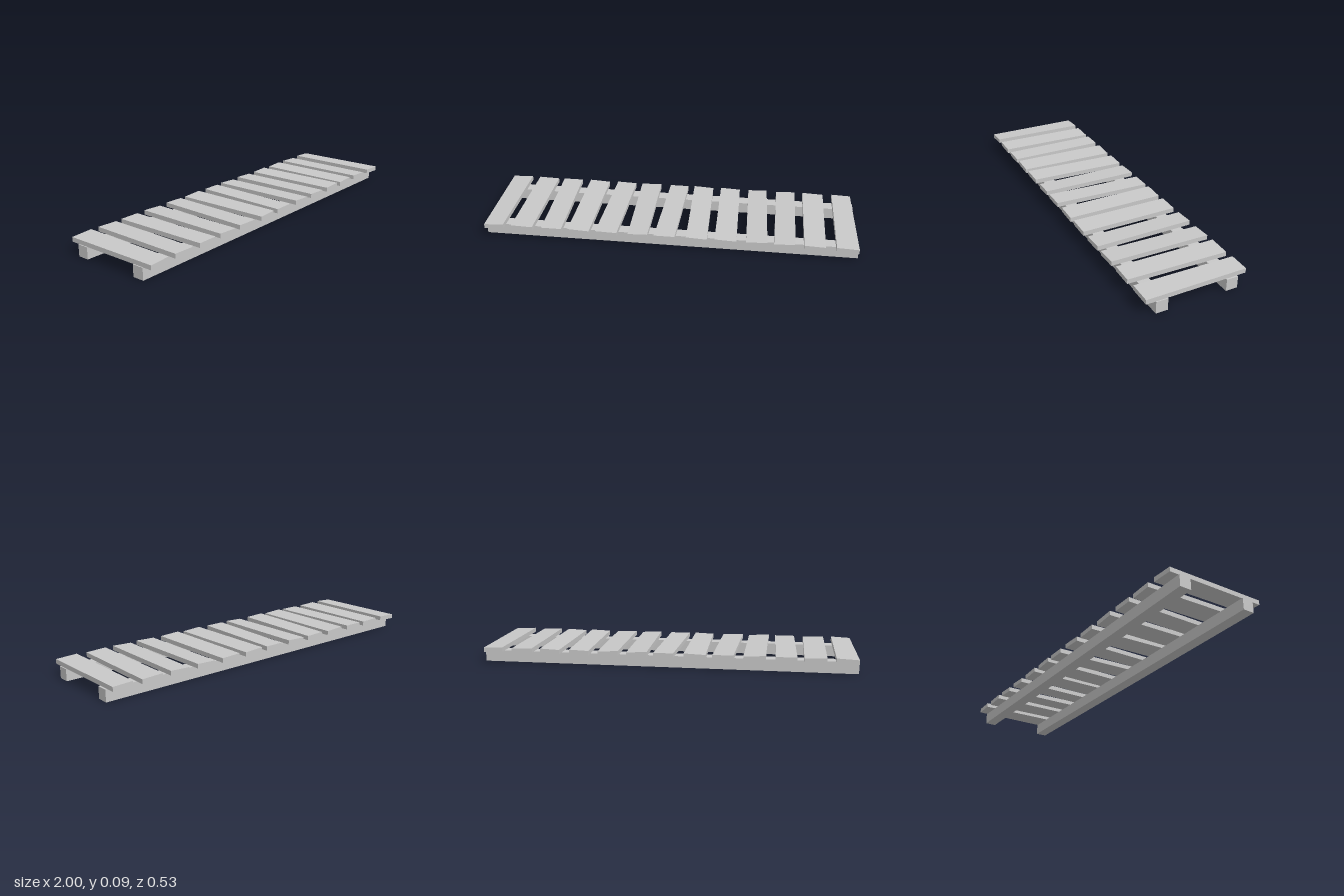
import * as THREE from 'three';

// Each plank: [back left x, back right x, front left x, front right x, roll]
const PLANKS = [
  [-0.995, -0.88, -0.995, -0.89, 0.05],
  [-0.835, -0.72, -0.845, -0.73, -0.03],
  [-0.685, -0.575, -0.68, -0.57, 0],
  [-0.525, -0.41, -0.535, -0.42, -0.05],
  [-0.36, -0.25, -0.385, -0.27, -0.03],
  [-0.215, -0.10, -0.21, -0.105, 0.04],
  [-0.045, 0.06, -0.07, 0.04, 0],
  [0.095, 0.205, 0.10, 0.21, -0.05],
  [0.25, 0.36, 0.25, 0.365, -0.04],
  [0.41, 0.515, 0.415, 0.525, 0.04],
  [0.57, 0.675, 0.56, 0.67, 0.04],
  [0.72, 0.835, 0.715, 0.825, -0.04],
  [0.885, 0.99, 0.88, 0.995, -0.04],
];

// Slightly skewed board: a box whose corners follow the plank's end positions
function plankGeometry([bl, br, fl, fr, roll]) {
  const geometry = new THREE.BoxGeometry(2, 0.024, 0.534);
  const pos = geometry.attributes.position;
  const middle = (bl + br + fl + fr) / 4;
  for (let i = 0; i < pos.count; i++) {
    const [left, right] = pos.getZ(i) > 0 ? [fl, fr] : [bl, br];
    const x = pos.getX(i) > 0 ? right : left;
    pos.setX(i, x);
    pos.setY(i, pos.getY(i) + 0.076 + (x - middle) * roll);
  }
  geometry.computeVertexNormals();
  return geometry;
}

export function createModel() {
  const model = new THREE.Group();
  model.name = 'plankWalkway';
  const wood = new THREE.MeshStandardMaterial({ color: 0xc8c8c8 });
  wood.name = 'light grey';

  // Two long bearers
  for (const side of [1, -1]) {
    const rail = new THREE.Mesh(new THREE.BoxGeometry(2, 0.062, 0.062), wood);
    rail.name = side > 0 ? 'frontRail' : 'backRail';
    rail.position.set(0, 0.031, side * 0.187);
    model.add(rail);
  }

  // Uneven cross planks
  PLANKS.forEach((plank, i) => {
    const mesh = new THREE.Mesh(plankGeometry(plank), wood);
    mesh.name = `plank${i + 1}`;
    model.add(mesh);
  });
  return model;
}
